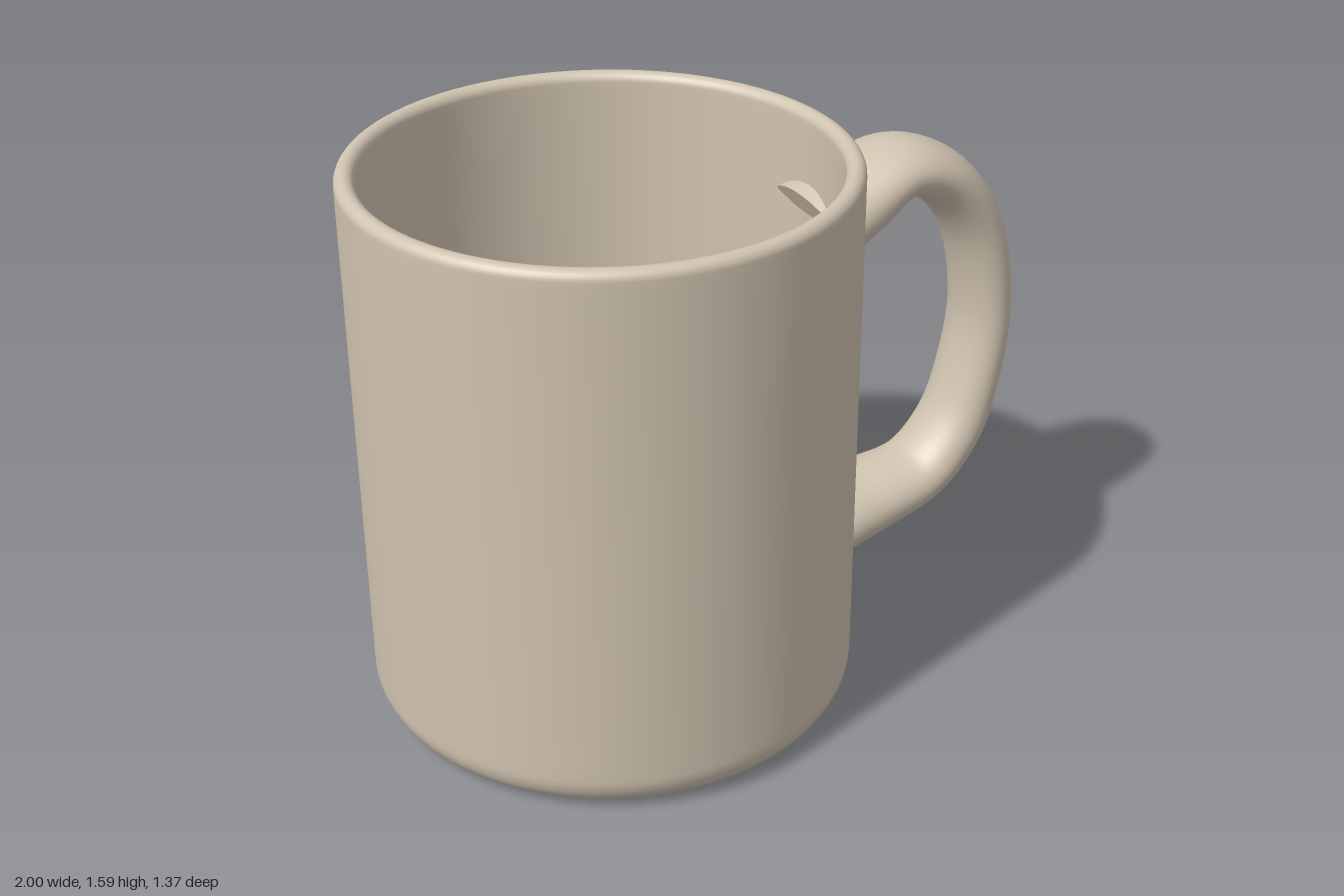
import * as THREE from 'three';

const CUP_X = -0.315;

// Quarter-round fillet points about (cx, cy) from angle a0 to a1 (degrees)
function fillet(cx, cy, r, a0, a1, n = 8) {
  return Array.from({ length: n + 1 }, (_, i) => {
    const a = THREE.MathUtils.degToRad(a0 + ((a1 - a0) * i) / n);
    return new THREE.Vector2(Math.max(0, cx + r * Math.cos(a)), cy + r * Math.sin(a));
  });
}

// Closed cup wall: recessed foot, rounded base, outer wall, lip, inner wall, floor
function cupGeometry() {
  const p = (x, y) => new THREE.Vector2(x, y);
  const profile = [
    p(0, 0.03), p(0.515, 0.03), p(0.525, 0.028), p(0.533, 0.005), p(0.54, 0),
    ...fillet(0.575, 0.11, 0.11, -90, 0, 10),
    p(0.685, 0.14), p(0.685, 1.54),
    ...fillet(0.658, 1.563, 0.027, 0, 180, 12),
    p(0.631, 1.54), p(0.631, 0.2),
    ...fillet(0.531, 0.17, 0.1, 0, -90, 8),
    p(0.5, 0.07), p(0, 0.07),
  ];
  return new THREE.LatheGeometry(profile, 96);
}

// Handle: elliptical sections swept along a planar curve, wider and thicker at the ends
function handleGeometry() {
  // x, y, half thickness in plane, half width in z
  const stations = [
    [0.33, 1.27, 0.113, 0.18], [0.44, 1.325, 0.105, 0.168], [0.595, 1.39, 0.083, 0.147],
    [0.74, 1.335, 0.083, 0.135], [0.865, 1.17, 0.081, 0.123], [0.92, 0.9, 0.078, 0.119],
    [0.893, 0.67, 0.082, 0.12], [0.835, 0.5, 0.087, 0.122], [0.72, 0.377, 0.088, 0.128],
    [0.55, 0.334, 0.097, 0.148], [0.42, 0.317, 0.108, 0.168], [0.33, 0.305, 0.113, 0.18],
  ];
  const path = new THREE.CatmullRomCurve3(stations.map(s => new THREE.Vector3(s[0], s[1], 0)));
  const sizes = new THREE.CatmullRomCurve3(stations.map(s => new THREE.Vector3(s[2], s[3], 0)));
  const rings = 88, sides = 40, pos = [], idx = [];
  for (let i = 0; i <= rings; i++) {
    const c = path.getPoint(i / rings), t = path.getTangent(i / rings);
    const s = sizes.getPoint(i / rings);
    for (let j = 0; j < sides; j++) {
      const a = (j / sides) * Math.PI * 2;
      const u = Math.cos(a) * s.x;
      pos.push(c.x - t.y * u, c.y + t.x * u, Math.sin(a) * s.y);
    }
  }
  for (let i = 0; i < rings; i++) {
    for (let j = 0; j < sides; j++) {
      const k = (j + 1) % sides;
      const a = i * sides + j, b = i * sides + k, c = a + sides, d = b + sides;
      idx.push(a, b, c, b, d, c);
    }
  }
  // End caps with their own vertices so the rims stay sharp
  for (const [ring, flip] of [[0, false], [rings, true]]) {
    const base = pos.length / 3;
    for (let j = 0; j < sides; j++) {
      const o = (ring * sides + j) * 3;
      pos.push(pos[o], pos[o + 1], pos[o + 2]);
    }
    for (let j = 1; j < sides - 1; j++) {
      if (flip) idx.push(base, base + j, base + j + 1);
      else idx.push(base, base + j + 1, base + j);
    }
  }
  const g = new THREE.BufferGeometry();
  g.setAttribute('position', new THREE.Float32BufferAttribute(pos, 3));
  g.setIndex(idx);
  g.computeVertexNormals();
  return g;
}

export function createModel() {
  const group = new THREE.Group();
  group.name = 'mug';
  const ceramic = new THREE.MeshStandardMaterial({ color: 0xd0c3b0 });
  ceramic.name = 'beige ceramic';
  ceramic.side = THREE.DoubleSide;

  const cup = new THREE.Mesh(cupGeometry(), ceramic);
  cup.name = 'cup';
  cup.position.x = CUP_X;

  const handle = new THREE.Mesh(handleGeometry(), ceramic);
  handle.name = 'handle';

  group.add(cup, handle);
  return group;
}
